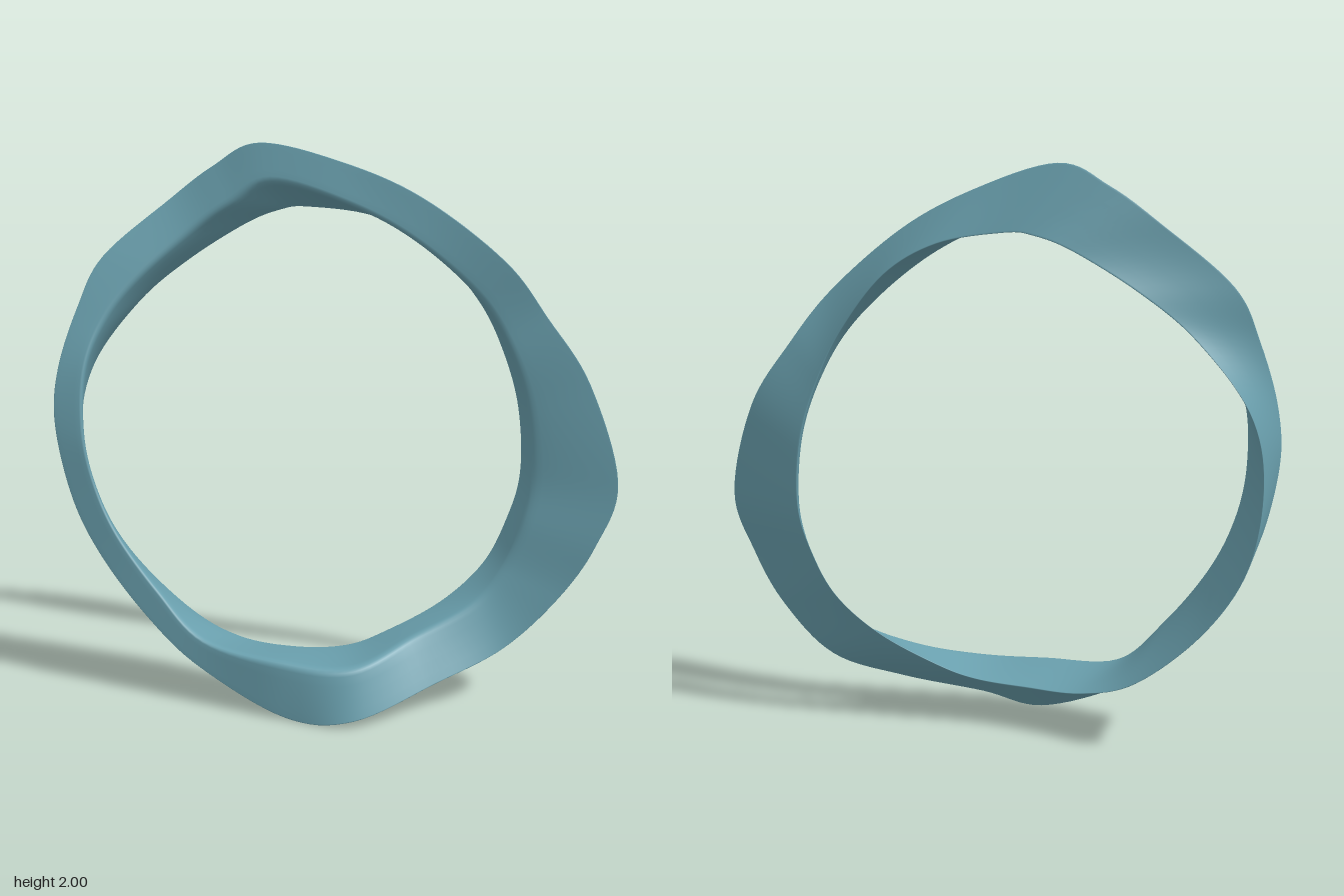
import * as THREE from 'three';

// Closed smooth rail through x, y, z triples, running from the top down the +x side and back up.
function rail(coords) {
  const pts = [];
  for (let i = 0; i < coords.length; i += 3) pts.push(new THREE.Vector3(coords[i], coords[i + 1], coords[i + 2]));
  return new THREE.CatmullRomCurve3(pts, true, 'catmullrom', 0.5);
}

// The three corner rails of the triangular section.
const outerRail = rail([
  -0.02, 2, -0.31, 0.1, 1.93, -0.02, 0.21, 1.81, 0.25, 0.35, 1.6, 0.5,
  0.48, 1.4, 0.6, 0.58, 1.17, 0.72, 0.605, 0.83, 0.835, 0.55, 0.6, 0.79,
  0.48, 0.4, 0.69, 0.35, 0.21, 0.55, 0.12, 0.11, 0.42, -0.17, 0.02, 0.28,
  -0.28, 0, 0.05, -0.4, 0.14, -0.26, -0.48, 0.3, -0.44, -0.56, 0.52, -0.6,
  -0.6, 0.73, -0.71, -0.62, 1, -0.77, -0.59, 1.2, -0.78, -0.5, 1.42, -0.77,
  -0.4, 1.6, -0.74, -0.2, 1.8, -0.6, -0.1, 1.92, -0.47,
]);
const frontRail = rail([
  -0.03, 1.86, -0.24, 0.08, 1.78, 0.03, 0.18, 1.66, 0.24, 0.3, 1.48, 0.42,
  0.39, 1.3, 0.5, 0.46, 1.08, 0.54, 0.48, 0.83, 0.55, 0.45, 0.65, 0.54,
  0.4, 0.48, 0.49, 0.31, 0.36, 0.43, 0.12, 0.27, 0.32, -0.13, 0.2, 0.24,
  -0.28, 0.21, 0.03, -0.39, 0.25, -0.25, -0.46, 0.42, -0.41, -0.53, 0.62, -0.54,
  -0.56, 0.8, -0.62, -0.57, 0.98, -0.66, -0.54, 1.2, -0.68, -0.46, 1.37, -0.67,
  -0.35, 1.52, -0.61, -0.2, 1.68, -0.5, -0.11, 1.78, -0.38,
]);
const backRail = rail([
  0.14, 1.77, -0.22, 0.25, 1.74, 0, 0.33, 1.64, 0.2, 0.41, 1.45, 0.35,
  0.47, 1.27, 0.42, 0.52, 1.06, 0.46, 0.53, 0.82, 0.47, 0.49, 0.64, 0.44,
  0.42, 0.48, 0.39, 0.3, 0.34, 0.29, 0.15, 0.23, 0.15, 0.05, 0.18, 0.05,
  -0.06, 0.165, -0.1, -0.15, 0.175, -0.3, -0.22, 0.25, -0.5, -0.33, 0.45, -0.7,
  -0.42, 0.68, -0.81, -0.46, 0.96, -0.83, -0.4, 1.2, -0.81, -0.27, 1.43, -0.69,
  -0.12, 1.58, -0.58, 0.02, 1.71, -0.42, 0.09, 1.76, -0.31,
]);

// Triangle outline with each corner softened by its own amount.
function section(corners, softness) {
  const out = [];
  corners.forEach((p, k) => {
    const prev = corners[(k + 2) % 3], next = corners[(k + 1) % 3], f = softness[k];
    const bend = new THREE.QuadraticBezierCurve3(p.clone().lerp(prev, f), p, p.clone().lerp(next, f));
    out.push(...bend.getPoints(4));
    for (const s of [0.2, 0.5, 0.8]) {
      out.push(p.clone().lerp(next, f).lerp(next.clone().lerp(p, softness[(k + 1) % 3]), s));
    }
  });
  return out;
}

function loopGeometry(steps) {
  const positions = [], indices = [];
  let n = 0;
  for (let i = 0; i < steps; i++) {
    const t = i / steps;
    const ring = section([outerRail, frontRail, backRail].map((r) => r.getPoint(t)), [0.04, 0.14, 0.04]);
    n = ring.length;
    ring.forEach((v) => positions.push(v.x, v.y, v.z));
  }
  for (let i = 0; i < steps; i++) {
    for (let j = 0; j < n; j++) {
      const i2 = (i + 1) % steps, j2 = (j + 1) % n;
      const a = i * n + j, b = i * n + j2, c = i2 * n + j2, d = i2 * n + j;
      indices.push(a, b, d, b, c, d);
    }
  }
  const geometry = new THREE.BufferGeometry();
  geometry.setAttribute('position', new THREE.Float32BufferAttribute(positions, 3));
  geometry.setIndex(indices);
  geometry.computeVertexNormals();
  return geometry;
}

export function createModel() {
  const group = new THREE.Group();
  group.name = 'twistedRing';
  const teal = new THREE.MeshStandardMaterial({ color: 0x6aa0ae });
  teal.name = 'dusty teal';
  const loop = new THREE.Mesh(loopGeometry(184), teal);
  loop.name = 'ringBand';
  group.add(loop);
  return group;
}
